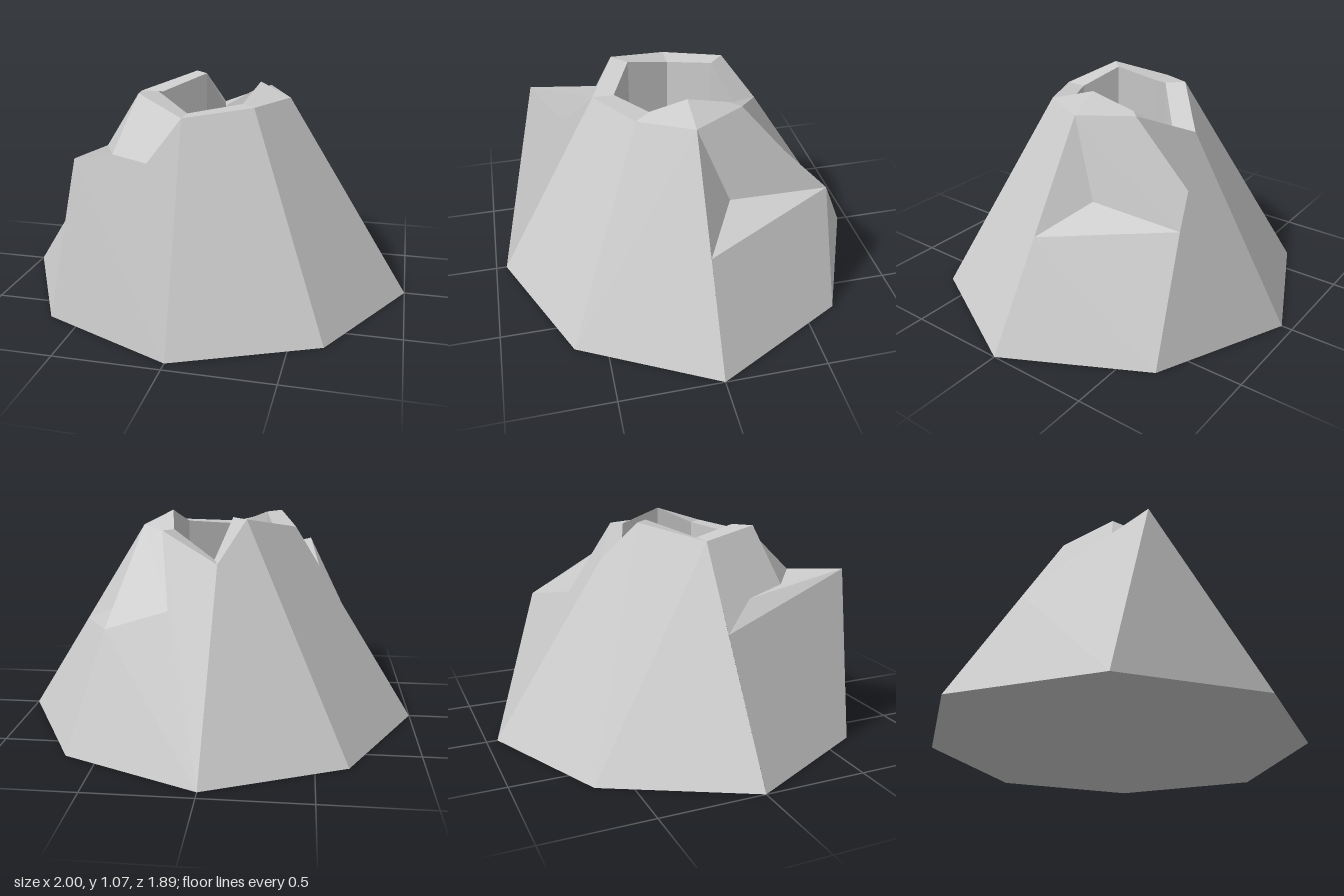
import * as THREE from 'three';

// Area-weighted normal of a polygon, so that a slightly bent facet still shades as one flat face
function facetNormal(p) {
  const n = new THREE.Vector3();
  p.forEach((a, i) => {
    const b = p[(i + 1) % p.length];
    n.add(new THREE.Vector3(...a).cross(new THREE.Vector3(...b)));
  });
  return n.normalize().toArray();
}

// Turns a list of polygons (each a loop of points) into flat facets, fanned from the first point
function facets(name, polygons, material) {
  const pos = [], nor = [];
  for (const p of polygons) {
    const n = facetNormal(p);
    for (let i = 1; i < p.length - 1; i++) {
      pos.push(...p[0], ...p[i], ...p[i + 1]);
      nor.push(...n, ...n, ...n);
    }
  }
  const geometry = new THREE.BufferGeometry();
  geometry.setAttribute('position', new THREE.Float32BufferAttribute(pos, 3));
  geometry.setAttribute('normal', new THREE.Float32BufferAttribute(nor, 3));
  const mesh = new THREE.Mesh(geometry, material);
  mesh.name = name;
  return mesh;
}

// Band of quads between two octagonal loops, lower/outer loop first
function band(a, b, sectors = [0, 1, 2, 3, 4, 5, 6, 7]) {
  return sectors.map((i) => {
    const j = (i + 1) % 8;
    return [a[j], a[i], b[i], b[j]];
  });
}

export function createModel() {
  const rock = new THREE.MeshStandardMaterial({ color: 0xcacaca });
  rock.name = 'light grey rock';

  // Loops run east, front-right, front, front-left, west, back-left, back, back-right
  const base = [[1, 0, 0], [0.655, 0, 0.655], [0, 0, 0.947], [-0.655, 0, 0.655],
    [-1, 0, 0], [-0.655, 0, -0.657], [0, 0, -0.947], [0.655, 0, -0.657]];
  const rim = [[0.385, 0.99, 0], [0.25, 0.985, 0.255], [-0.06, 0.955, 0.415], [-0.305, 1.035, 0.285],
    [-0.385, 0.99, 0], [-0.155, 1.06, -0.255], [-0.03, 0.87, -0.4], [0.25, 1, -0.25]];
  const lip = [[0.237, 1.065, 0.01], [0.18, 0.985, 0.18], [-0.06, 0.955, 0.31], [-0.23, 1.035, 0.21],
    [-0.272, 0.99, 0], [-0.085, 1.06, -0.185], [-0.005, 0.87, -0.285], [0.2, 1, -0.2]];
  const floor = lip.map(([x, , z]) => [x, 0.6, z]);

  // Plain slopes of the cone
  const slopes = band(base, rim, [0, 1, 4, 5]);

  // Front-left spur: a raised ledge with a pointed tip
  const tipA = [-0.47, 0.817, 0.7], ledgeFront = [-0.185, 0.772, 0.56], ledgeInner = [-0.41, 0.755, 0.39];
  const ledgeMid = [-0.52, 0.733, 0.16], ledgeEnd = [-0.625, 0.605, 0];
  const frontSpur = [
    [base[2], rim[2], ledgeFront, tipA, base[3]],
    [rim[2], rim[3], ledgeInner, ledgeFront],
    [tipA, ledgeFront, ledgeInner],
    [base[3], tipA, ledgeEnd, base[4]],
    [ledgeEnd, tipA, ledgeMid],
    [tipA, ledgeInner, ledgeMid],
    [ledgeMid, ledgeInner, rim[3], rim[4], ledgeEnd],
  ];

  // Back-right spur: a lower shoulder running out from the rim
  const tipB = [0.452, 0.613, -0.632], shoulder = [0.187, 0.67, -0.505];
  const foot = [0.697, 0.488, 0], hollow = [0.45, 0.615, -0.15];
  const backSpur = [
    [base[6], rim[6], rim[7], shoulder, tipB, base[7]],
    [shoulder, rim[7], rim[0], tipB],
    [foot, base[0], base[7], tipB],
    [foot, tipB, hollow],
    [hollow, tipB, rim[0]],
    [foot, hollow, rim[0]],
  ];

  const group = new THREE.Group();
  group.name = 'craterMountain';
  group.add(
    facets('slopes', slopes, rock),
    facets('frontSpur', frontSpur, rock),
    facets('backSpur', backSpur, rock),
    facets('craterRim', band(rim, lip), rock),
    facets('craterWall', band(lip, floor), rock),
    // Crater floor is fanned from its centre
    facets('craterFloor', floor.map((p, i) => [[0, 0.6, 0], floor[(i + 1) % 8], p]), rock),
    facets('underside', [base], rock),
  );
  return group;
}
